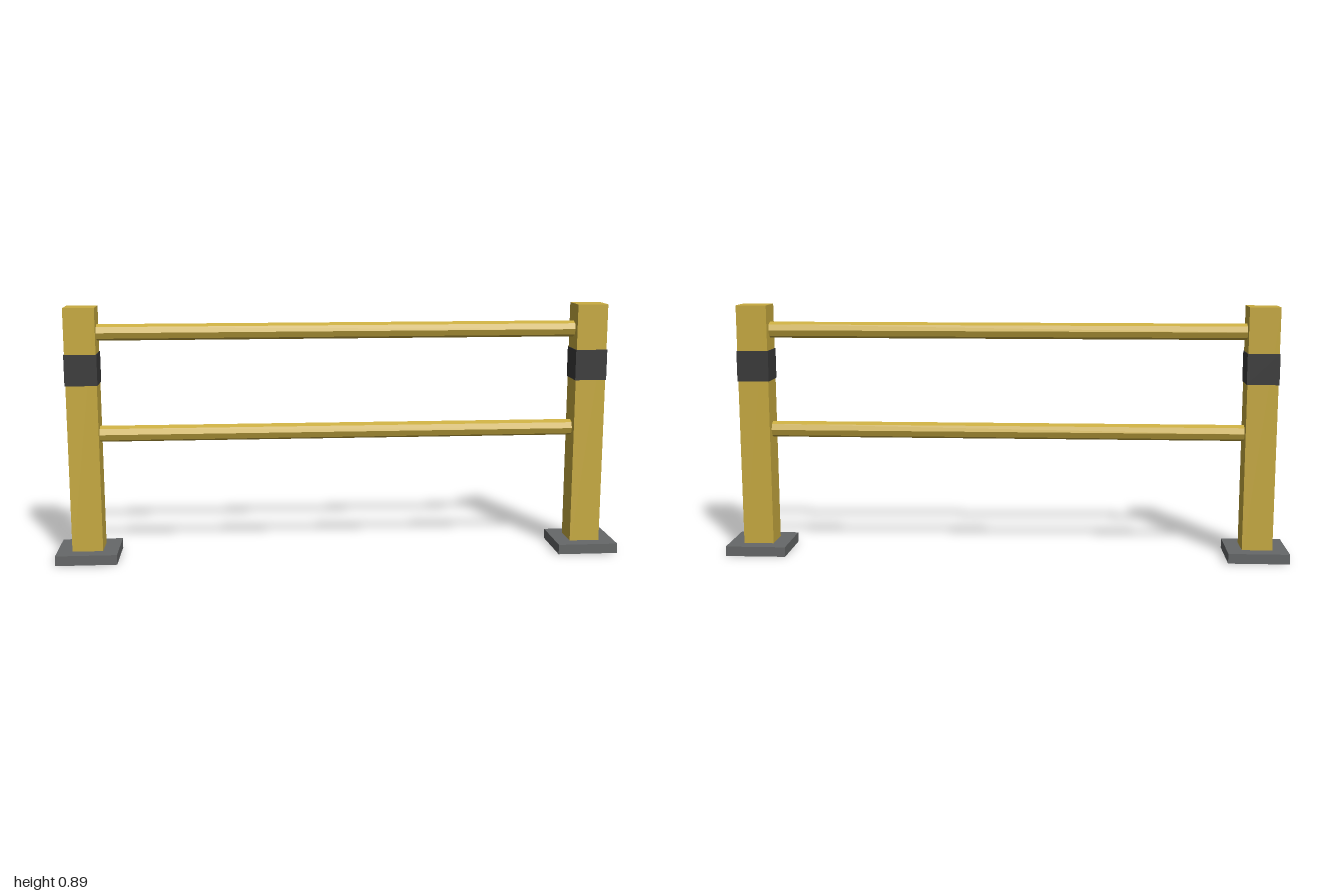
import * as THREE from 'three';

const POST_X = 0.893, POST_W = 0.107, POST_H = 0.893;
const BASE_W = 0.214, BASE_H = 0.035;

function material(name, color) {
  const m = new THREE.MeshStandardMaterial({ color });
  m.name = name;
  return m;
}

function add(parent, name, geometry, mat, x, y, z) {
  const mesh = new THREE.Mesh(geometry, mat);
  mesh.name = name;
  mesh.position.set(x, y, z);
  parent.add(mesh);
  return mesh;
}

function square(PathType, w) {
  const h = w / 2;
  return new PathType([[-h, -h], [h, -h], [h, h], [-h, h]].map(([x, y]) => new THREE.Vector2(x, y)));
}

export function createModel() {
  const group = new THREE.Group();
  group.name = 'guardRail';
  const yellow = material('safetyYellow', 0xc9ac41);
  const black = material('bandBlack', 0x3a3a3a);
  const grey = material('baseGrey', 0x666869);

  // Base plate with a square socket through which the post reaches the floor
  const plate = square(THREE.Shape, BASE_W);
  plate.holes.push(square(THREE.Path, POST_W));
  const baseGeo = new THREE.ExtrudeGeometry(plate, { depth: BASE_H, bevelEnabled: false });
  baseGeo.rotateX(-Math.PI / 2);

  const postGeo = new THREE.BoxGeometry(POST_W, POST_H, POST_W);
  const bandGeo = new THREE.BoxGeometry(0.112, 0.108, 0.112);

  // Two mirrored posts, each with its base and dark band
  for (const [side, s] of [['left', 1], ['right', -1]]) {
    const post = new THREE.Group();
    post.name = side + 'PostAssembly';
    post.position.x = s * POST_X;
    add(post, 'basePlate', baseGeo, grey, 0, 0, 0);
    add(post, 'post', postGeo, yellow, 0, POST_H / 2, 0);
    add(post, 'band', bandGeo, black, 0, 0.679, 0);
    group.add(post);
  }

  // Eight-sided rails between the posts
  const railGeo = new THREE.CylinderGeometry(0.0286, 0.0286, 2 * POST_X - POST_W, 8).toNonIndexed();
  railGeo.rotateZ(Math.PI / 2);
  railGeo.computeVertexNormals();
  add(group, 'upperRail', railGeo, yellow, 0, 0.804, 0);
  add(group, 'lowerRail', railGeo, yellow, 0, 0.447, 0);

  return group;
}
